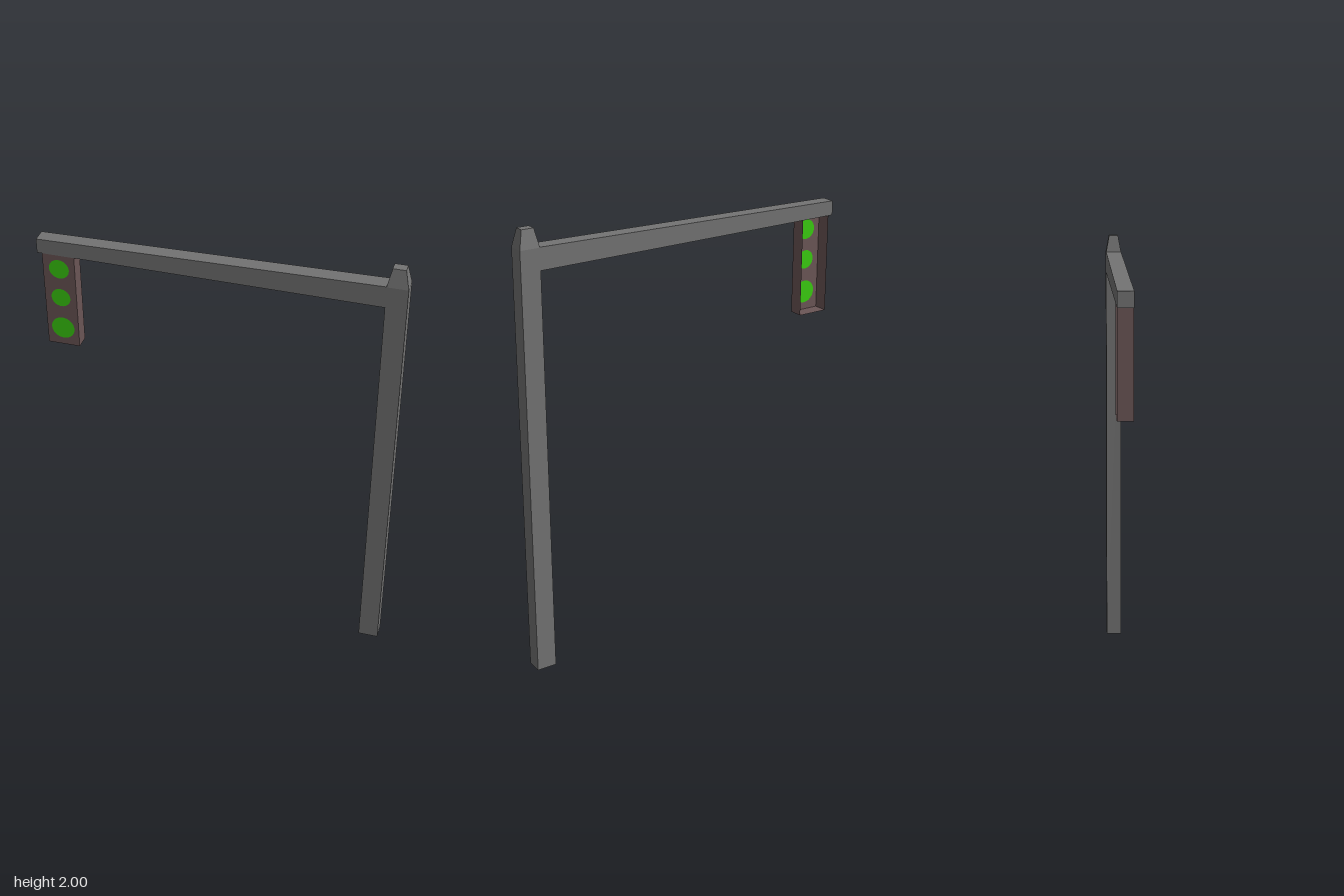
import * as THREE from 'three';

const mat = (color) => new THREE.MeshStandardMaterial({ color, flatShading: true, side: THREE.DoubleSide });

// Joins four-cornered rings into a hollow tube; the last ring is capped.
function loft(rings) {
  const pos = [];
  const quad = (a, b, c, d) => [a, b, c, a, c, d].forEach((p) => pos.push(...p));
  for (let r = 0; r < rings.length - 1; r++) {
    for (let i = 0; i < 4; i++) {
      const j = (i + 1) % 4;
      quad(rings[r][i], rings[r][j], rings[r + 1][j], rings[r + 1][i]);
    }
  }
  quad(...rings[rings.length - 1]);
  const geo = new THREE.BufferGeometry();
  geo.setAttribute('position', new THREE.Float32BufferAttribute(pos, 3));
  geo.computeVertexNormals();
  return geo;
}

// Level ring for the pole, upright ring for the arm
const levelRing = (y, x0, x1, z) => [[x0, y, z], [x1, y, z], [x1, y, -z], [x0, y, -z]];
const uprightRing = (x, y0, y1, z) => [[x, y0, -z], [x, y0, z], [x, y1, z], [x, y1, -z]];

export function createModel() {
  const model = new THREE.Group();
  const add = (name, geo, material, parent = model) => {
    const mesh = new THREE.Mesh(geo, material);
    mesh.name = name;
    parent.add(mesh);
    return mesh;
  };
  const metal = mat(0x737373);
  const casing = mat(0x6b5656);
  const green = mat(0x3acc10);

  // Pole with an open foot and tapered top
  add('pole', loft([
    levelRing(0, 0.7, 0.79, 0.036),
    levelRing(1.92, 0.7, 0.79, 0.036),
    levelRing(2, 0.717, 0.772, 0.021),
  ]), metal);

  // Arm narrowing towards its free end
  add('arm', loft([
    uprightRing(0.7, 1.825, 1.922, 0.036),
    uprightRing(-0.79, 1.835, 1.9, 0.033),
  ]), metal);

  // Signal housing, open at the back
  const signal = new THREE.Group();
  signal.name = 'signalHead';
  model.add(signal);
  const [x0, x1, y0, y1, zf, zb] = [-0.768, -0.625, 1.39, 1.835, 0.033, -0.033];
  const cx = (x0 + x1) / 2;
  const lamps = [[1.768, 0.045], [1.627, 0.043], [1.474, 0.052]];

  const panel = new THREE.Shape([[x0, y0], [x1, y0], [x1, y1], [x0, y1]].map((p) => new THREE.Vector2(...p)));
  for (const [y, r] of lamps) panel.holes.push(new THREE.Path().absarc(cx, y, r, 0, Math.PI * 2, true));
  add('frontPanel', new THREE.ShapeGeometry(panel, 16), casing, signal).position.z = zf;

  for (const x of [x0, x1]) {
    const side = add('sidePanel', new THREE.PlaneGeometry(zf - zb, y1 - y0), casing, signal);
    side.rotation.y = x === x0 ? -Math.PI / 2 : Math.PI / 2;
    side.position.set(x, (y0 + y1) / 2, (zf + zb) / 2);
  }
  const floor = add('bottomPanel', new THREE.PlaneGeometry(x1 - x0, zf - zb), casing, signal);
  floor.rotation.x = Math.PI / 2;
  floor.position.set(cx, y0, (zf + zb) / 2);

  // Round lamps filling the holes
  for (const [y, r] of lamps) {
    add('lamp', new THREE.CircleGeometry(r, 32), green, signal).position.set(cx, y, zf);
  }
  return model;
}
